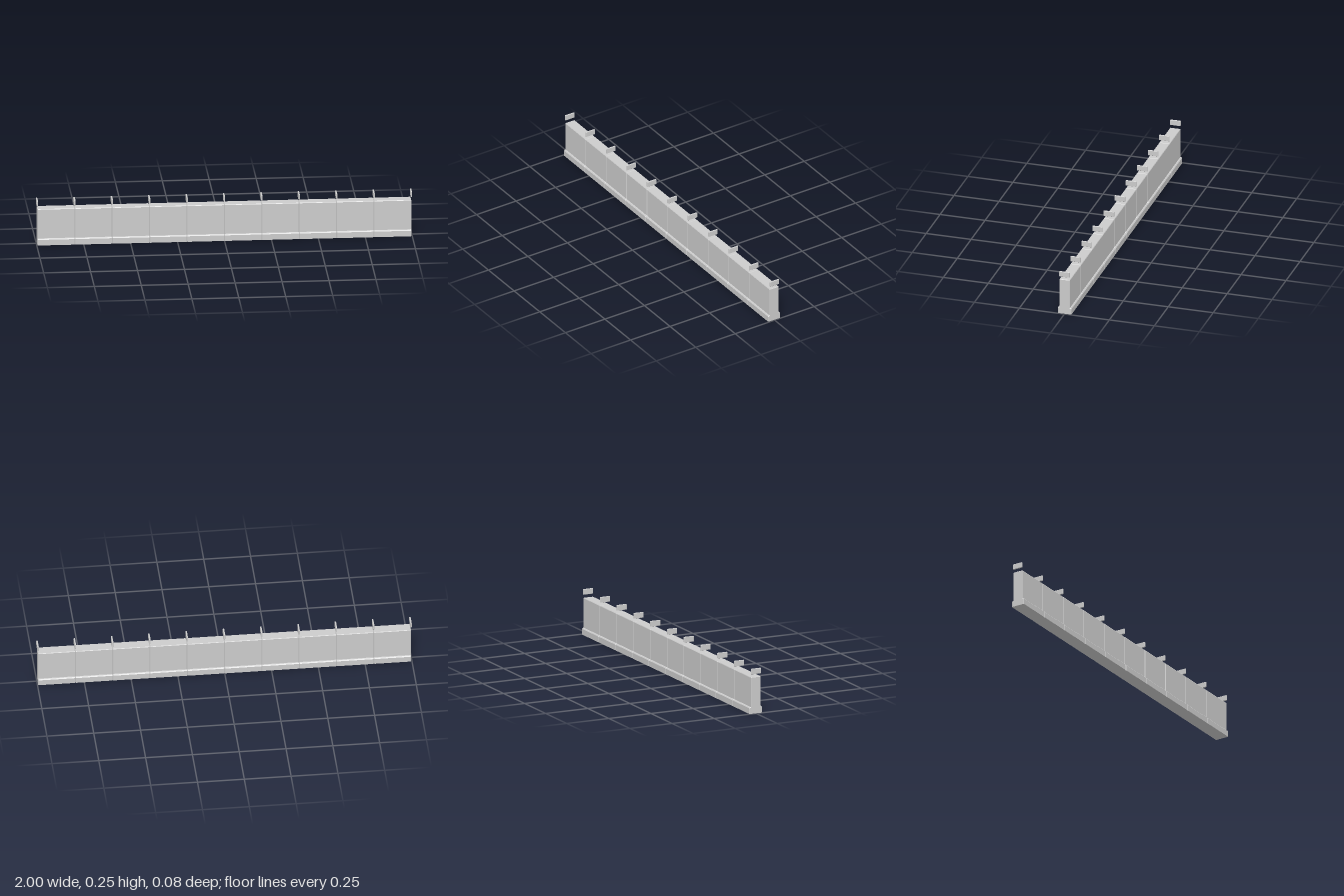
import * as THREE from 'three';

const PANELS = 10;
const PITCH = 0.1992;

// Extrude a cross-section (z, y) along x, centred, with chamfered ends
function extrudeAlongX(points, length, chamfer) {
  const shape = new THREE.Shape(points.map(([z, y]) => new THREE.Vector2(z, y)));
  const geometry = new THREE.ExtrudeGeometry(shape, {
    depth: length - 2 * chamfer,
    bevelEnabled: true,
    bevelThickness: chamfer,
    bevelSize: chamfer,
    bevelOffset: -chamfer,
    bevelSegments: 1,
  });
  geometry.translate(0, 0, chamfer - length / 2);
  geometry.rotateY(Math.PI / 2);
  return geometry;
}

// Mirror a half profile, listed bottom to top, across z = 0
function mirrored(half) {
  return [...half, ...half.map(([z, y]) => [-z, y]).reverse()];
}

export function createModel() {
  const model = new THREE.Group();
  model.name = 'panelWall';
  const material = new THREE.MeshStandardMaterial({ color: 0xcccccc, flatShading: true });

  // Wall panel with a wider plinth
  const panelGeometry = extrudeAlongX(mirrored([
    [0.036, 0], [0.038, 0.002], [0.038, 0.031], [0.034, 0.0355],
    [0.029, 0.037], [0.029, 0.197], [0.027, 0.2],
  ]), PITCH, 0.003);

  // Keep the underside flat on the ground
  const position = panelGeometry.attributes.position;
  for (let i = 0; i < position.count; i++) {
    if (position.getY(i) < 0.004) position.setY(i, 0);
  }
  panelGeometry.computeVertexNormals();

  // Thin marker plate hovering above each joint
  const plateGeometry = extrudeAlongX(mirrored([
    [0.0275, 0.216], [0.029, 0.2175], [0.029, 0.2445], [0.0275, 0.246],
  ]), 0.008, 0.0015);

  for (let i = 0; i < PANELS; i++) {
    const panel = new THREE.Mesh(panelGeometry, material);
    panel.name = `wallPanel${i + 1}`;
    panel.position.x = (i - (PANELS - 1) / 2) * PITCH;
    model.add(panel);
  }
  for (let i = 0; i <= PANELS; i++) {
    const plate = new THREE.Mesh(plateGeometry, material);
    plate.name = `jointPlate${i + 1}`;
    plate.position.x = (i - PANELS / 2) * PITCH;
    model.add(plate);
  }
  return model;
}
